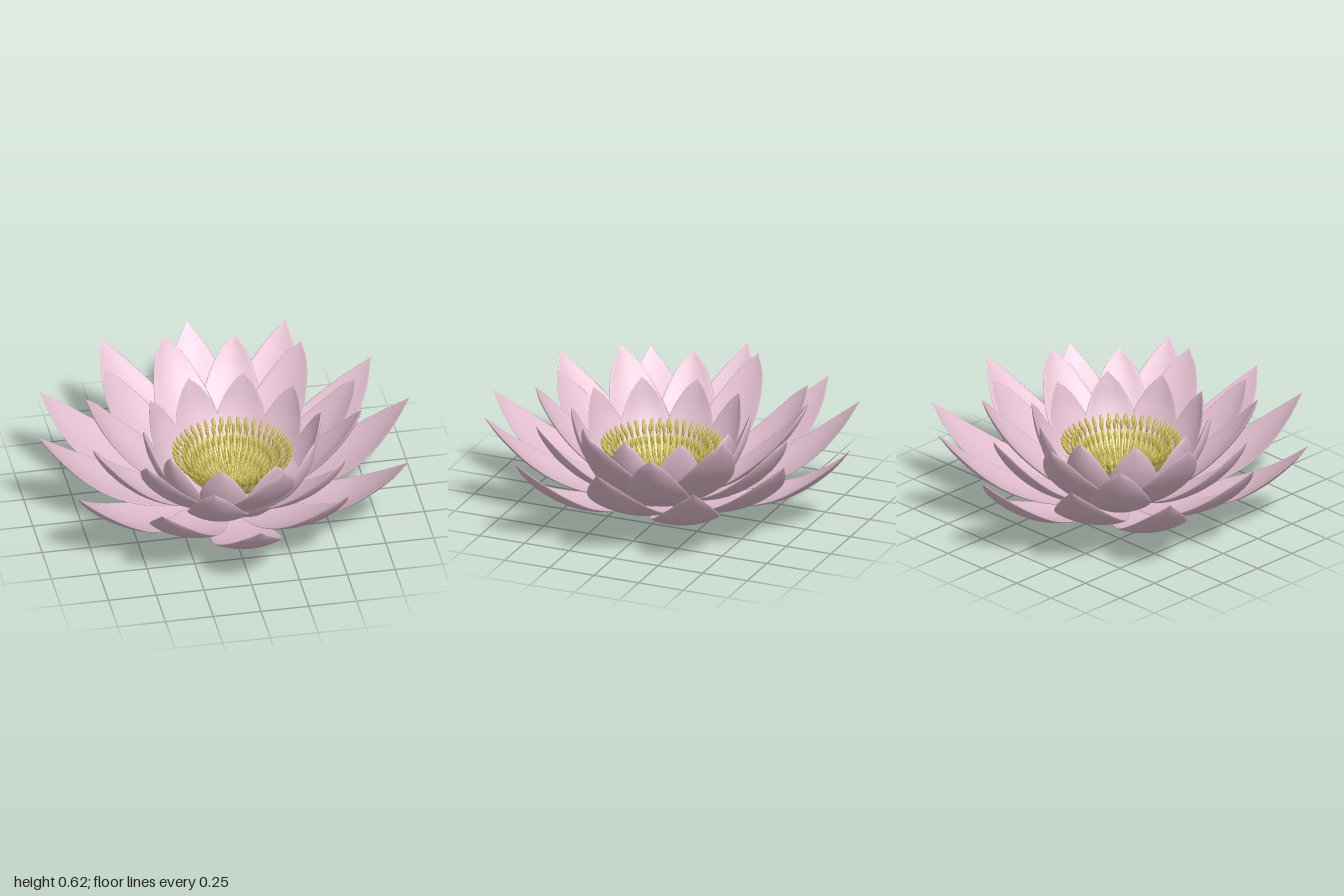
import * as THREE from 'three';
import { mergeGeometries } from 'three/addons/utils/BufferGeometryUtils.js';

const pink = new THREE.MeshStandardMaterial({ color: 0xe3bfd0 });
const gold = new THREE.MeshStandardMaterial({ color: 0xc9b950 });
const goldOpen = new THREE.MeshStandardMaterial({ color: 0xd8cc84, side: THREE.DoubleSide });

// Petal: lens-shaped, cupped cross-sections along a spine.
// Each station is [half width, height, distance from the centre].
function petalGeometry(stations, cup, thickness = 0.011) {
  const curve = new THREE.CatmullRomCurve3(stations.map((s) => new THREE.Vector3(...s)));
  const rows = 28, sides = 24, pos = [], index = [];
  const widest = Math.max(...stations.map((s) => s[0]));
  for (let i = 0; i <= rows; i++) {
    const p = curve.getPoint(i / rows), t = curve.getTangent(i / rows);
    t.x = 0;
    t.normalize();
    const w = Math.max(p.x, 0.001);
    const thick = thickness * Math.sqrt(w / widest);
    for (let j = 0; j < sides; j++) {
      const a = (j / sides) * Math.PI * 2, c = Math.cos(a);
      const lift = thick * Math.sin(a) + cup * w * c * c;
      pos.push(w * c, p.y + t.z * lift, p.z - t.y * lift);
      if (i < rows) {
        const k = (j + 1) % sides, r0 = i * sides, r1 = r0 + sides;
        index.push(r0 + j, r0 + k, r1 + j, r0 + k, r1 + k, r1 + j);
      }
    }
  }
  const g = new THREE.BufferGeometry();
  g.setAttribute('position', new THREE.Float32BufferAttribute(pos, 3));
  g.setIndex(index);
  g.computeVertexNormals();
  return g;
}

// Ring of equal petals
function petalRing(name, count, startDeg, cup, stations) {
  const ring = new THREE.Group();
  ring.name = name;
  const geometry = petalGeometry(stations, cup);
  for (let i = 0; i < count; i++) {
    const petal = new THREE.Mesh(geometry, pink);
    petal.name = name + 'Petal';
    petal.rotation.y = THREE.MathUtils.degToRad(startDeg + (i * 360) / count);
    ring.add(petal);
  }
  return ring;
}

// Ring of stamens: a thin curved filament ending in a plump anther
function stamenRing(name, count, offset, path, antherRadius, antherLength) {
  const points = path.map(([r, y]) => new THREE.Vector3(0, y, r));
  const curve = new THREE.CatmullRomCurve3(points);
  const filament = new THREE.TubeGeometry(curve, 8, 0.0035, 5);
  const anther = new THREE.SphereGeometry(1, 8, 6);
  anther.scale(antherRadius, antherLength / 2, antherRadius);
  anther.applyQuaternion(new THREE.Quaternion().setFromUnitVectors(
    new THREE.Vector3(0, 1, 0), curve.getTangent(1)));
  const tip = points[points.length - 1];
  anther.translate(tip.x, tip.y, tip.z);
  const stamen = mergeGeometries([filament, anther]);
  const copies = [];
  for (let i = 0; i < count; i++) {
    copies.push(stamen.clone().rotateY(((i + offset) / count) * Math.PI * 2));
  }
  const mesh = new THREE.Mesh(mergeGeometries(copies), gold);
  mesh.name = name;
  return mesh;
}

export function createModel() {
  const flower = new THREE.Group();
  flower.name = 'waterFlower';

  // Spreading outer petals, two alternating rings
  flower.add(petalRing('outerLower', 6, 0, 0.17, [
    [0.03, 0.1, 0.04], [0.1, 0.095, 0.2], [0.155, 0.115, 0.42], [0.178, 0.18, 0.64],
    [0.15, 0.265, 0.78], [0.085, 0.38, 0.91], [0, 0.49, 1]]));
  flower.add(petalRing('outerUpper', 6, 30, 0.17, [
    [0.03, 0.1, 0.04], [0.1, 0.1, 0.2], [0.155, 0.135, 0.42], [0.178, 0.22, 0.62],
    [0.15, 0.315, 0.76], [0.085, 0.435, 0.88], [0, 0.55, 0.97]]));

  // Rising middle petals, two alternating rings
  flower.add(petalRing('middleLower', 6, 45, 0.22, [
    [0.03, 0.09, 0.04], [0.1, 0.11, 0.18], [0.15, 0.17, 0.36], [0.155, 0.27, 0.52],
    [0.12, 0.39, 0.64], [0.065, 0.5, 0.715], [0, 0.57, 0.75]]));
  flower.add(petalRing('middleUpper', 6, 15, 0.22, [
    [0.03, 0.09, 0.04], [0.1, 0.12, 0.17], [0.15, 0.2, 0.34], [0.155, 0.32, 0.49],
    [0.12, 0.44, 0.6], [0.065, 0.555, 0.675], [0, 0.63, 0.71]]));

  // Inner cup and stamens sit slightly off centre
  const heart = new THREE.Group();
  heart.name = 'heart';
  heart.position.set(0.035, 0, 0.045);
  flower.add(heart);
  heart.add(petalRing('inner', 10, 18, 0.25, [
    [0.025, 0.012, 0.03], [0.07, 0.05, 0.12], [0.12, 0.125, 0.25], [0.135, 0.25, 0.36],
    [0.11, 0.38, 0.425], [0.055, 0.49, 0.455], [0, 0.55, 0.465]]));

  // Shallow golden bowl
  const profile = new THREE.SplineCurve([[0, 0.15], [0.08, 0.165], [0.16, 0.2], [0.22, 0.25], [0.255, 0.31]]
    .map(([r, y]) => new THREE.Vector2(r, y))).getPoints(16);
  const bowl = new THREE.Mesh(new THREE.LatheGeometry(profile, 48), goldOpen);
  bowl.name = 'stamenBowl';
  heart.add(bowl);

  // Stamens, from the rim inwards
  heart.add(stamenRing('rimStamens', 44, 0, [[0.14, 0.19], [0.22, 0.25], [0.26, 0.31], [0.292, 0.355]], 0.01, 0.06));
  heart.add(stamenRing('upperStamens', 44, 0.5, [[0.12, 0.18], [0.2, 0.24], [0.235, 0.29], [0.25, 0.345]], 0.009, 0.055));
  heart.add(stamenRing('middleStamens', 40, 0, [[0.08, 0.17], [0.16, 0.21], [0.195, 0.25], [0.205, 0.305]], 0.008, 0.05));
  heart.add(stamenRing('lowerStamens', 32, 0.5, [[0.03, 0.16], [0.1, 0.18], [0.14, 0.21], [0.155, 0.25]], 0.007, 0.05));
  heart.add(stamenRing('centreStamens', 18, 0, [[0.01, 0.16], [0.05, 0.172], [0.085, 0.19], [0.1, 0.205]], 0.007, 0.06));

  return flower;
}
